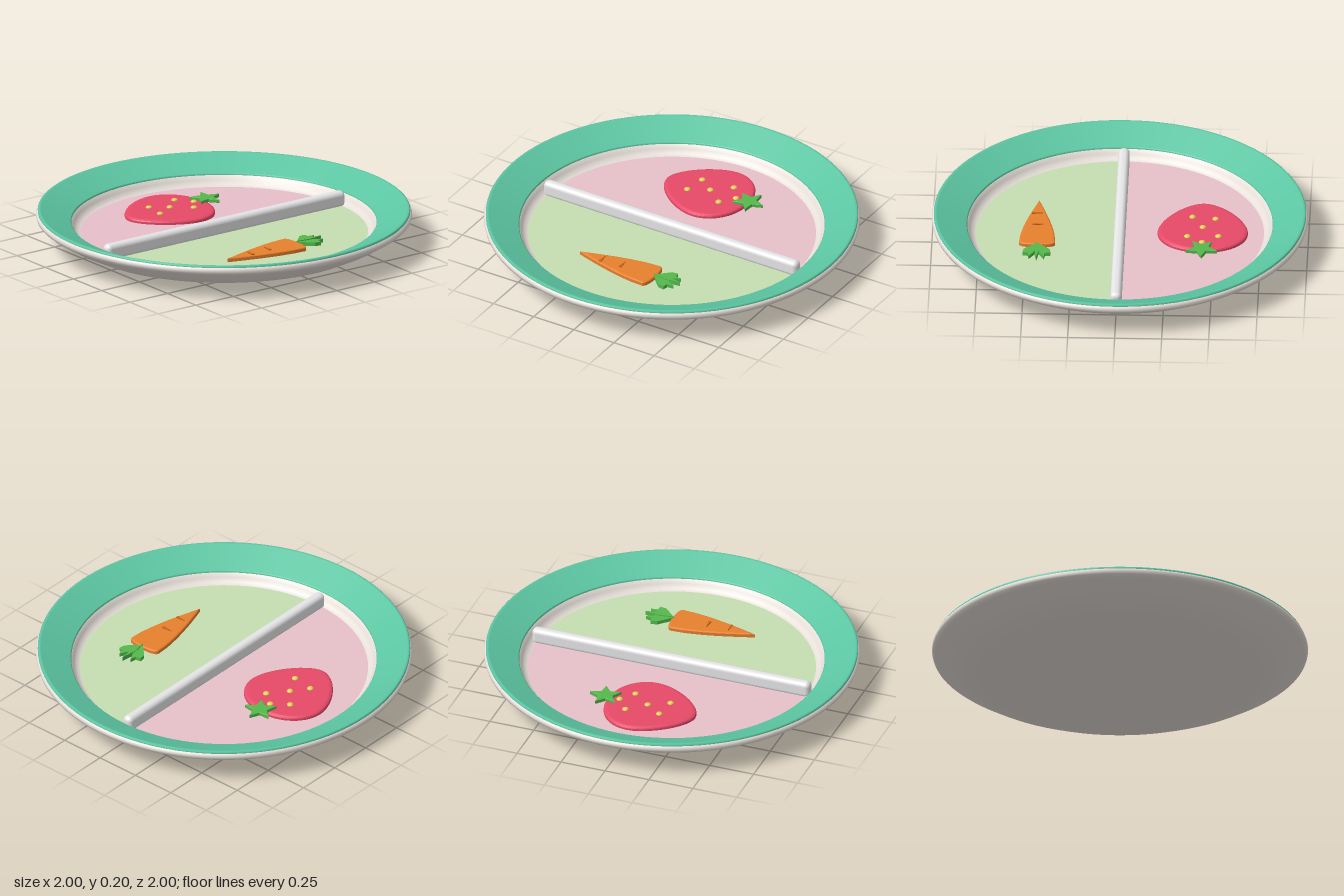
import * as THREE from 'three';
import { RoundedBoxGeometry } from 'three/addons/geometries/RoundedBoxGeometry.js';

const mat = (name, color) => {
  const m = new THREE.MeshStandardMaterial({ color });
  m.name = name;
  return m;
};

export function createModel() {
  const cream = mat('cream dish', 0xf0e8e2);
  const white = mat('white divider', 0xf4f4f6);
  const teal = mat('teal rim', 0x5cc6a2);
  const pink = mat('pink floor', 0xecc4ce);
  const lime = mat('pale green floor', 0xc6deb2);
  const red = mat('strawberry red', 0xe94a68);
  const orange = mat('carrot orange', 0xf0852f);
  const brown = mat('carrot mark', 0xc9651f);
  const leaf = mat('leaf green', 0x55b84c);
  const yellow = mat('seed yellow', 0xe8cf58);

  const plate = new THREE.Group();
  plate.name = 'dividedPlate';

  const add = (parent, name, geometry, material, x = 0, y = 0, z = 0) => {
    const mesh = new THREE.Mesh(geometry, material);
    mesh.name = name;
    mesh.position.set(x, y, z);
    parent.add(mesh);
    return mesh;
  };
  const lathe = (pts) => new THREE.LatheGeometry(pts.map((p) => new THREE.Vector2(...p)), 96);
  // Lying flat slab from a shape: shape +y points to the back of the plate
  const slab = (shape, height, bevel = 0) => {
    const g = new THREE.ExtrudeGeometry(shape, {
      depth: height - bevel / 2, curveSegments: 14, bevelEnabled: bevel > 0,
      bevelSize: bevel, bevelOffset: -bevel, bevelThickness: bevel / 2, bevelSegments: 3,
    });
    return g.rotateX(-Math.PI / 2);
  };
  const polygon = (pts) => new THREE.Shape(pts.map((p) => new THREE.Vector2(...p)));

  // Dish body: underside, rounded lip and the basin inside
  add(plate, 'dishUnderside', lathe([
    [0, 0], [0.4, 0.002], [0.63, 0.008], [0.8, 0.043], [0.9, 0.092], [0.98, 0.142],
    [0.996, 0.155], [1, 0.17], [0.996, 0.183], [0.985, 0.19],
  ]), cream);
  add(plate, 'dishBasin', lathe([
    [0.83, 0.132], [0.81, 0.122], [0.8, 0.1], [0.785, 0.08], [0.76, 0.069], [0.7, 0.066], [0, 0.066],
  ]), cream);

  // Sloping coloured rim
  add(plate, 'rim', lathe([[0.99, 0.187], [0.99, 0.195], [0.984, 0.2], [0.975, 0.198]]), teal);
  add(plate, 'rimSlope', lathe([[0.984, 0.2], [0.9, 0.166], [0.816, 0.132]]), teal);
  add(plate, 'rimInnerEdge', lathe([[0.816, 0.132], [0.812, 0.128], [0.812, 0.118]]), teal);

  // Two half-round floors
  [['leftFloor', lime, -Math.PI / 2], ['rightFloor', pink, Math.PI / 2]].forEach(([name, m, start]) => {
    const g = new THREE.CircleGeometry(0.77, 48, start, Math.PI).rotateX(-Math.PI / 2);
    add(plate, name, g, m, 0, 0.0715, 0);
  });

  // Divider wall
  add(plate, 'divider', new RoundedBoxGeometry(0.06, 0.09, 1.58, 4, 0.026), white, 0, 0.105, 0);

  // Strawberry
  const strawberry = new THREE.Group();
  strawberry.name = 'strawberry';
  strawberry.position.set(-0.44, 0.07, 0);
  plate.add(strawberry);
  const berry = new THREE.Shape();
  berry.moveTo(0, 0.2);
  berry.bezierCurveTo(-0.14, 0.2, -0.24, 0.11, -0.24, 0);
  berry.bezierCurveTo(-0.24, -0.12, -0.1, -0.3, 0, -0.3);
  berry.bezierCurveTo(0.1, -0.3, 0.24, -0.12, 0.24, 0);
  berry.bezierCurveTo(0.24, 0.11, 0.14, 0.2, 0, 0.2);
  add(strawberry, 'berryBody', slab(berry, 0.025, 0.024), red);
  const star = [];
  for (let i = 0; i < 10; i++) {
    const a = Math.PI / 2 + (i * Math.PI) / 5;
    const r = i % 2 ? 0.04 : 0.088;
    star.push([r * Math.cos(a), r * Math.sin(a)]);
  }
  add(strawberry, 'berryLeaves', slab(polygon(star), 0.018, 0.006), leaf, 0, 0.023, -0.21);
  const seed = new THREE.SphereGeometry(0.018, 12, 8).scale(1, 0.6, 1);
  [[-0.085, -0.065], [0.08, -0.07], [0, -0.13], [0, 0.03], [-0.065, 0.12], [0.058, 0.138]]
    .forEach(([x, z]) => add(strawberry, 'seed', seed, yellow, x, 0.027, z));

  // Carrot
  const carrot = new THREE.Group();
  carrot.name = 'carrot';
  carrot.position.set(0.437, 0.07, 0);
  plate.add(carrot);
  const root = new THREE.Shape();
  root.moveTo(0, -0.305);
  root.quadraticCurveTo(0.075, -0.08, 0.092, 0.07);
  root.lineTo(0.096, 0.14);
  root.quadraticCurveTo(0.09, 0.165, 0, 0.166);
  root.quadraticCurveTo(-0.09, 0.165, -0.096, 0.14);
  root.lineTo(-0.092, 0.07);
  root.quadraticCurveTo(-0.075, -0.08, 0, -0.305);
  add(carrot, 'carrotRoot', slab(root, 0.024, 0.012), orange);
  const mark = polygon([[-0.03, 0], [0.028, -0.008], [0.028, 0.008]]);
  [[0, 0.04], [0.008, 0.16]].forEach(([x, z]) => add(carrot, 'carrotMark', slab(mark, 0.006), brown, x, 0.023, z));

  // Carrot greens: a pair of broad leaves and a thin middle blade
  const sideLeaf = polygon([[0, 0], [0.07, 0.07], [0.075, 0.105], [0.045, 0.11], [0.04, 0.145], [0.012, 0.095]]);
  const mirrored = polygon(sideLeaf.getPoints().map((p) => [-p.x, p.y]));
  [sideLeaf, mirrored].forEach((s) => add(carrot, 'carrotLeaf', slab(s, 0.02), leaf, 0, 0.006, -0.155));
  const blade = polygon([[0, 0], [0.013, 0.08], [0, 0.163], [-0.013, 0.08]]);
  add(carrot, 'carrotMiddleLeaf', slab(blade, 0.025), leaf, 0, 0.006, -0.155);

  return plate;
}
